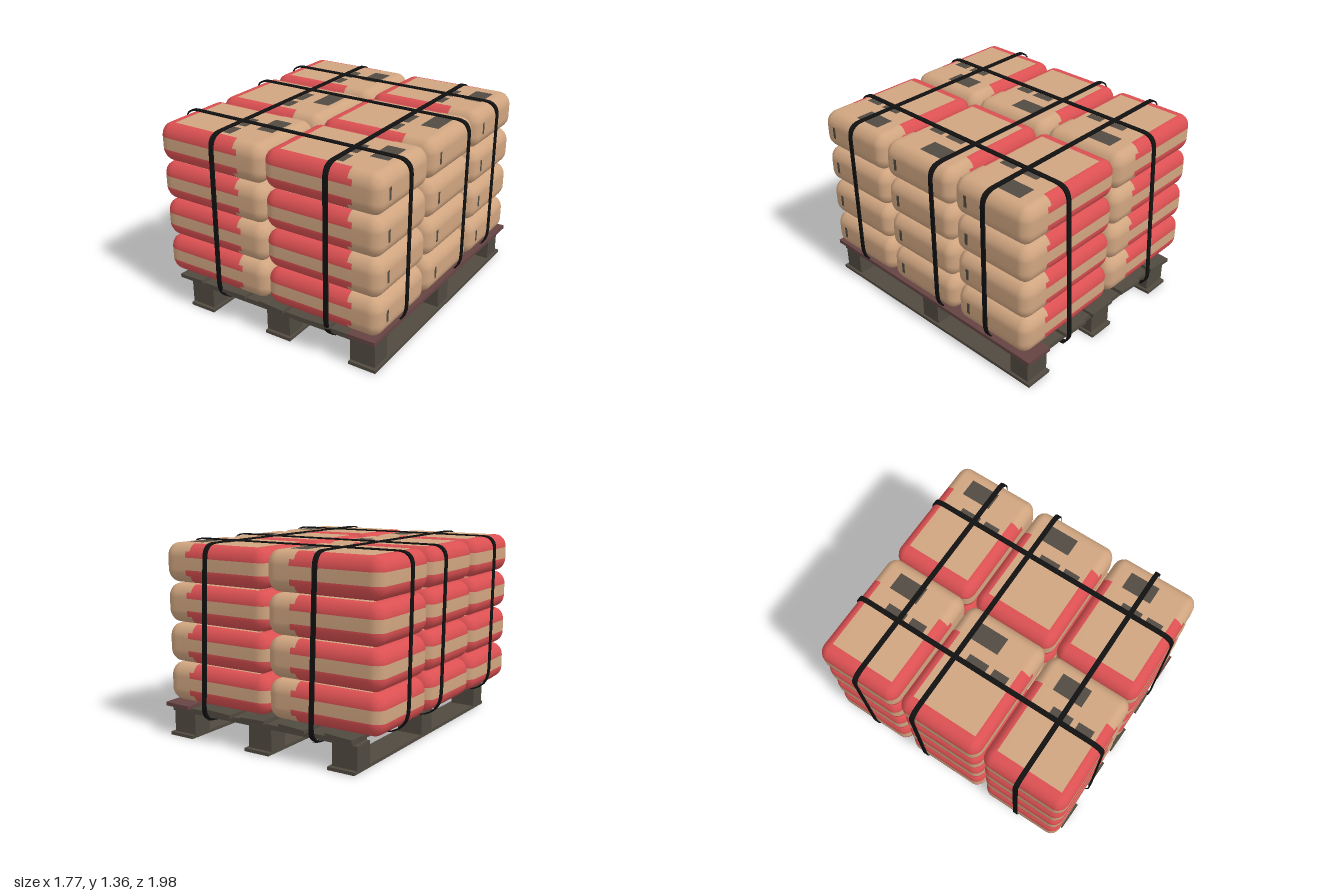
import * as THREE from 'three';
import { mergeVertices } from 'three/addons/utils/BufferGeometryUtils.js';

const mat = (name, color) => Object.assign(new THREE.MeshStandardMaterial({ color }), { name });

// Sack: a box with chosen cut lines, rounded off, its cells grouped by colour
function sackGeometry() {
  const half = [0.429, 0.134, 0.308], radius = [0.08, 0.092, 0.07];
  const ends = (i) => {
    const inner = half[i] - radius[i];
    return [0, 0.22, 0.5, 1].flatMap((t) => [inner + radius[i] * t, -inner - radius[i] * t]);
  };
  const sorted = (a) => a.sort((p, q) => p - q);
  const cuts = [
    sorted([...ends(0), -0.327, 0.05, 0.11, 0.2, 0.235, 0.33]),
    sorted([...ends(1)]),
    sorted([...ends(2), -0.165, -0.1, 0.05, 0.09, 0.18, 0.205]),
  ];
  const n = cuts.map((c) => c.length - 1);
  let geo = new THREE.BoxGeometry(1, 1, 1, n[0], n[1], n[2]);
  geo.deleteAttribute('uv');
  geo.deleteAttribute('normal');
  geo = mergeVertices(geo, 1e-5);
  const pos = geo.attributes.position;
  const flat = [];
  for (let v = 0; v < pos.count; v++) {
    const p = [0, 1, 2].map((i) => cuts[i][Math.round((pos.getComponent(v, i) + 0.5) * n[i])]);
    flat.push(p);
    const d = p.map((c, i) => Math.sign(c) * Math.max(0, Math.abs(c) - half[i] + radius[i]) / radius[i]);
    const len = Math.hypot(...d);
    p.forEach((c, i) => {
      const inner = THREE.MathUtils.clamp(c, radius[i] - half[i], half[i] - radius[i]);
      pos.setComponent(v, i, inner + (radius[i] * d[i]) / len);
    });
  }
  // colour index: 0 paper, 1 red, 2 ink
  const pick = ([x, y, z]) => {
    const within = (a, b, c, d) => x > a && x < b && z > c && z < d;
    if (y > 0.133 && (within(0.05, 0.11, -0.1, 0.05) || within(0.05, 0.11, 0.09, 0.205)
      || within(0.2, 0.33, -0.165, 0.05))) return 2;
    if (x > 0.428 && Math.abs(y) < 0.04 && z > 0.18 && z < 0.205) return 2;
    const limit = Math.abs(y) > 0.1 ? 0.2 : 0.235;
    return Math.abs(y) > 0.042 && x < limit && (x < -0.327 || Math.abs(z) > 0.238) ? 1 : 0;
  };
  const lists = [[], [], []];
  const index = geo.index.array;
  for (let t = 0; t < index.length; t += 3) {
    const tri = [index[t], index[t + 1], index[t + 2]];
    const mid = [0, 1, 2].map((i) => tri.reduce((s, v) => s + flat[v][i] / 3, 0));
    // the longest-edge midpoint is the cell centre, so both triangles share a colour
    const cell = [0, 1, 2].map((i) => {
      const c = tri.map((v) => flat[v][i]);
      return (Math.min(...c) + Math.max(...c)) / 2;
    });
    lists[pick(cell.every(Number.isFinite) ? cell : mid)].push(...tri);
  }
  geo.setIndex(lists.flat());
  geo.clearGroups();
  let start = 0;
  lists.forEach((l, i) => { geo.addGroup(start, l.length, i); start += l.length; });
  geo.computeVertexNormals();
  return geo;
}

// Strap: a thin closed band through rounded corners [u, v, radius]
function strapGeometry(corners, width) {
  const trace = (path, k) => {
    const pts = corners.map(([u, v, r]) => ({
      p: new THREE.Vector2(u * (1 - k / 0.9), 0.74 + (v - 0.74) * (1 - k / 0.62)), r }));
    pts.forEach(({ p, r }, i) => {
      const before = pts[(i + pts.length - 1) % pts.length].p, after = pts[(i + 1) % pts.length].p;
      const a = p.clone().add(before.clone().sub(p).setLength(r));
      const b = p.clone().add(after.clone().sub(p).setLength(r));
      if (i === 0) path.moveTo(a.x, a.y); else path.lineTo(a.x, a.y);
      path.quadraticCurveTo(p.x, p.y, b.x, b.y);
    });
    path.closePath();
    return path;
  };
  const shape = trace(new THREE.Shape(), 0);
  shape.holes.push(trace(new THREE.Path(), 0.009));
  const geo = new THREE.ExtrudeGeometry(shape, { depth: width, bevelEnabled: false, curveSegments: 6 });
  return geo.translate(0, 0, -width / 2);
}

export function createModel() {
  const model = new THREE.Group();
  model.name = 'palletOfSacks';
  const paper = mat('paper', 0xd0a580), red = mat('red', 0xdb5052), ink = mat('ink', 0x514b42);
  const wood = mat('wood', 0x504a40), redWood = mat('redWood', 0x654443), black = mat('strapBlack', 0x111111);

  const group = (name) => {
    const g = new THREE.Group();
    g.name = name;
    model.add(g);
    return g;
  };
  const add = (parent, name, geo, material, x = 0, y = 0, z = 0) => {
    const m = new THREE.Mesh(geo, material);
    m.name = name;
    m.position.set(x, y, z);
    parent.add(m);
    return m;
  };
  const box = (w, h, d) => new THREE.BoxGeometry(w, h, d);

  // Stacked sacks: two across, four high, three deep
  const sacks = group('sacks');
  const sack = sackGeometry();
  for (const x of [-0.428, 0.43])
    for (let layer = 0; layer < 4; layer++)
      for (const z of [-0.627, 0.019, 0.66])
        add(sacks, 'sack', sack, [paper, red, ink], x, 0.382 + layer * 0.2775, z);

  // Pallet: runners, blocks and cross beams
  const pallet = group('pallet');
  for (const x of [-0.59, 0.07, 0.73]) {
    add(pallet, 'runner', box(0.2, 0.022, 1.91), wood, x + 0.005, 0.011, 0);
    for (const z of [0.855, -0.005, -0.85])
      add(pallet, 'block', box(0.186, 0.16, 0.15), wood, x - 0.005, 0.1, z);
  }
  for (const z of [0.855, -0.005, -0.85])
    add(pallet, 'crossBeam', box(1.48, 0.034, 0.175), wood, 0.08, 0.195, z);

  // Slightly crooked top slats: front x, back x, roll
  [[-0.65, -0.575, 0.05], [-0.275, -0.22, 0.05], [0.04, 0.1, -0.04], [0.4, 0.385, 0.05], [0.74, 0.755, 0.02]]
    .forEach(([front, back, roll], i) => {
      const slat = add(pallet, 'slat', box(0.205, 0.026, 1.95), i === 4 ? redWood : wood,
        (front + back) / 2, 0.228, 0.005);
      slat.rotation.set(-0.005, Math.atan2(front - back, 1.95), roll);
    });

  // Straps around the load in both directions
  const straps = group('straps');
  const lengthwise = strapGeometry([[0.98, 1.362, 0.1], [0.99, 0.16, 0.14], [0.8, 0.102, 0.08],
    [-0.88, 0.148, 0.08], [-1.0, 0.17, 0.09], [-0.94, 1.362, 0.1]], 0.034).rotateY(-Math.PI / 2);
  for (const x of [-0.39, 0.485]) add(straps, 'lengthwiseStrap', lengthwise, black, x);
  const crosswise = strapGeometry([[0.885, 1.36, 0.1], [0.88, 0.2, 0.16], [0.66, 0.18, 0.05],
    [-0.6, 0.18, 0.05], [-0.87, 0.215, 0.16], [-0.888, 1.36, 0.1]], 0.034);
  for (const z of [0.64, -0.152, -0.605]) add(straps, 'crosswiseStrap', crosswise, black, 0, 0, z);

  return model;
}
